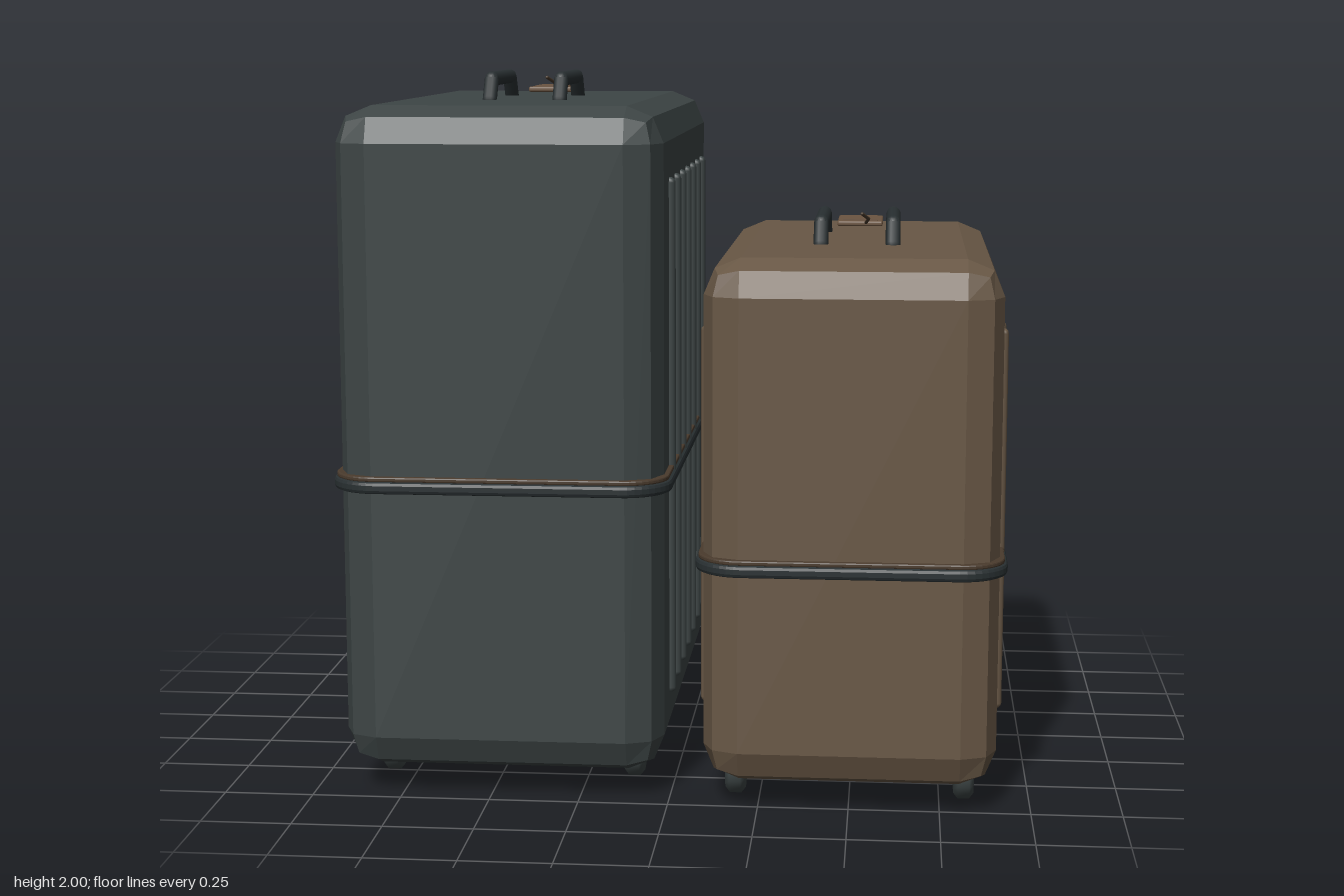
import * as THREE from 'three';
import { RoundedBoxGeometry } from 'three/addons/geometries/RoundedBoxGeometry.js';

const V = (x, y, z) => new THREE.Vector3(x, y, z);
const UP = V(0, 1, 0);

export function createModel() {
  const mat = (name, color) => Object.assign(new THREE.MeshStandardMaterial({ color }), { name });
  const slate = mat('slate', 0x3d4545);
  const brown = mat('brown', 0x685745);
  const dark = mat('dark rubber', 0x293032);
  const leather = mat('tag leather', 0x6c5541);
  const zipBrown = mat('zip brown', 0x4a3b2d);

  const add = (parent, name, geo, material, x = 0, y = 0, z = 0) => {
    const mesh = new THREE.Mesh(geo, material);
    mesh.name = name;
    mesh.position.set(x, y, z);
    parent.add(mesh);
    return mesh;
  };

  // Round-ended rods joined along a list of points
  const rods = (parent, name, points, r, material) => {
    const group = new THREE.Group();
    group.name = name;
    parent.add(group);
    for (let i = 1; i < points.length; i++) {
      const dir = points[i].clone().sub(points[i - 1]);
      const mid = points[i].clone().add(points[i - 1]).multiplyScalar(0.5);
      const rod = add(group, name + 'Section', new THREE.CapsuleGeometry(r, dir.length(), 4, 10), material, mid.x, mid.y, mid.z);
      rod.quaternion.setFromUnitVectors(UP, dir.normalize());
    }
    return group;
  };

  // Rounded rectangle outline in the XY plane
  const outline = (Target, w, d, r) => {
    const p = new Target();
    p.absarc(w / 2 - r, d / 2 - r, r, 0, Math.PI / 2);
    p.absarc(-w / 2 + r, d / 2 - r, r, Math.PI / 2, Math.PI);
    p.absarc(-w / 2 + r, -d / 2 + r, r, Math.PI, Math.PI * 1.5);
    p.absarc(w / 2 - r, -d / 2 + r, r, Math.PI * 1.5, Math.PI * 2);
    p.closePath();
    return p;
  };

  // Band running round the case, centred on y = 0
  const bandGeometry = (w, d, out, h) => {
    const bevel = h * 0.3;
    const grow = 2 * (out - bevel);
    const shape = outline(THREE.Shape, w + grow, d + grow, 0.1 + out);
    shape.holes.push(outline(THREE.Path, w - 0.05, d - 0.05, 0.09));
    const geo = new THREE.ExtrudeGeometry(shape, {
      depth: h - 2 * bevel, bevelEnabled: true, bevelThickness: bevel, bevelSize: bevel, bevelSegments: 2, curveSegments: 5,
    });
    geo.translate(0, 0, -h / 2 + bevel);
    return geo.rotateX(-Math.PI / 2);
  };

  const suitcase = (name, { w, h, d, color, ribTop, ribStep, wheelX, x, z }) => {
    const g = new THREE.Group();
    g.name = name;
    g.position.set(x, 0, z);
    const base = 0.07, top = base + h, beltY = base + h / 2 - 0.113;

    // Shell with faceted two-step edges
    const shell = new RoundedBoxGeometry(w, h, d, 1, 0.1);
    shell.computeVertexNormals();
    add(g, 'shell', shell, color, 0, base + h / 2, 0);

    // Vertical ribs on both sides
    for (const s of [-1, 1]) {
      for (let i = -3; i <= 3; i++) {
        const len = ribTop - 0.25 - 0.03;
        add(g, 'rib', new THREE.CapsuleGeometry(0.015, len, 3, 8), color, s * (w / 2 + 0.003), 0.265 + len / 2, i * ribStep);
      }
    }

    // Rubber belt with zip line above it
    add(g, 'belt', bandGeometry(w, d, 0.022, 0.034), dark, 0, beltY, 0);
    add(g, 'zipLine', bandGeometry(w, d, 0.014, 0.014), zipBrown, 0, beltY + 0.023, 0);

    // Zip pulls on the left side, near the back
    for (const pz of [-0.4, -0.49]) {
      rods(g, 'zipPull', [V(w / 2 + 0.014, beltY - 0.015, pz + 0.02), V(w / 2 + 0.022, beltY - 0.05, pz - 0.015)], 0.006, zipBrown);
    }

    // Wheels
    const profile = [[0, -0.028], [0.055, -0.028], [0.07, -0.016], [0.07, 0.016], [0.055, 0.028], [0, 0.028]];
    const wheelGeo = new THREE.LatheGeometry(profile.map(([r, y]) => new THREE.Vector2(r, y)), 20).rotateZ(Math.PI / 2);
    for (const sx of [-1, 1]) {
      for (const sz of [-1, 1]) add(g, 'wheel', wheelGeo, slate, sx * wheelX, 0.07, sz * 0.51);
    }

    // Pair of carrying handles
    for (const sx of [-1, 1]) {
      const hx = sx * 0.102;
      rods(g, 'handle', [V(hx, top, 0.205), V(hx, top + 0.059, 0.165), V(hx, top + 0.059, -0.165), V(hx, top, -0.205)], 0.021, dark);
    }

    // Luggage tag, its window and cord
    add(g, 'tag', new RoundedBoxGeometry(0.138, 0.016, 0.226, 2, 0.006), leather, 0, top + 0.015, -0.435);
    add(g, 'tagWindow', new THREE.BoxGeometry(0.104, 0.004, 0.164), leather, 0, top + 0.024, -0.432);
    rods(g, 'tagCord', [V(0.018, top + 0.018, -0.325), V(0.027, top + 0.035, -0.26), V(0.008, top + 0.055, -0.195)], 0.005, zipBrown);
    return g;
  };

  const model = new THREE.Group();
  model.name = 'suitcases';
  model.add(
    suitcase('largeSuitcase', { w: 0.9, h: 1.85, d: 1.55, color: slate, ribTop: 1.72, ribStep: 0.173, wheelX: 0.35, x: -0.467, z: -0.027 }),
    suitcase('smallSuitcase', { w: 0.806, h: 1.45, d: 1.42, color: brown, ribTop: 1.32, ribStep: 0.158, wheelX: 0.318, x: 0.5, z: 0.105 }),
  );
  return model;
}
